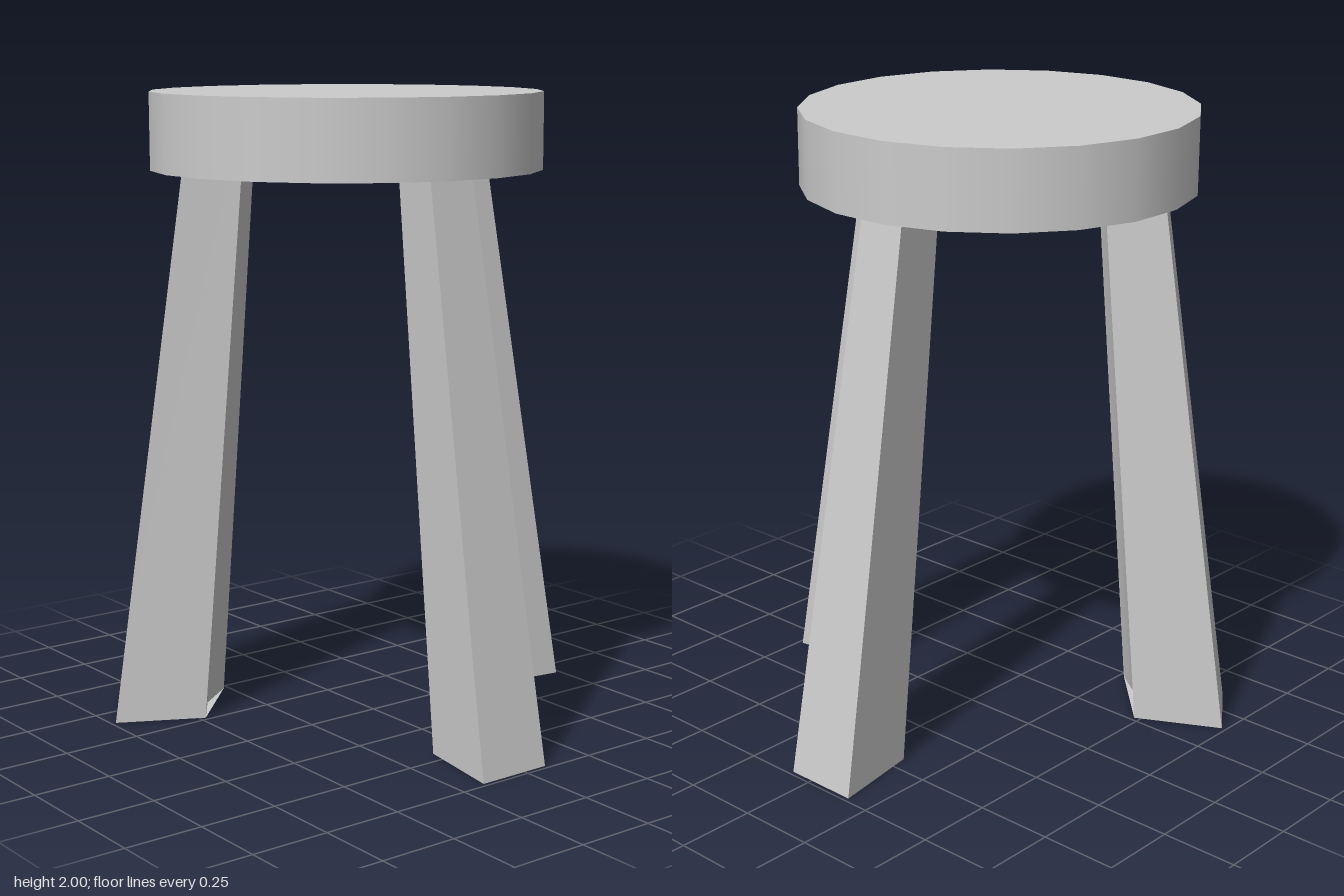
import * as THREE from 'three';
import { toCreasedNormals } from 'three/addons/utils/BufferGeometryUtils.js';

const SEAT_BOTTOM = 1.76;
const SEAT_TOP = 2;

// Solid between a floor outline and an upper outline, both lists of [x, z]
function loft(bottom, top) {
  const area = THREE.ShapeUtils.area(bottom.map(([x, z]) => new THREE.Vector2(x, z)));
  if (area > 0) {
    bottom = [...bottom].reverse();
    top = [...top].reverse();
  }
  const n = bottom.length;
  const positions = [];
  for (const [x, z] of bottom) positions.push(x, 0, z);
  for (const [x, z] of top) positions.push(x, SEAT_BOTTOM, z);
  const index = [];
  for (let i = 0; i < n; i++) {
    const j = (i + 1) % n;
    index.push(i, j, n + j, i, n + j, n + i);
  }
  // End caps
  for (let i = 1; i < n - 1; i++) {
    index.push(0, i + 1, i, n, n + i, n + i + 1);
  }
  const geometry = new THREE.BufferGeometry();
  geometry.setAttribute('position', new THREE.Float32BufferAttribute(positions, 3));
  geometry.setIndex(index);
  return toCreasedNormals(geometry, Math.PI / 6);
}

export function createModel() {
  const group = new THREE.Group();
  const material = new THREE.MeshStandardMaterial({ color: 0xcccccc });
  const add = (name, geometry) => {
    const mesh = new THREE.Mesh(geometry, material);
    mesh.name = name;
    group.add(mesh);
    return mesh;
  };

  // Round seat, offset towards the back leg, flats facing the axes
  const sides = 20;
  const radius = 0.604 / Math.cos(Math.PI / sides);
  const seatGeometry = new THREE.CylinderGeometry(radius, radius, SEAT_TOP - SEAT_BOTTOM, sides);
  seatGeometry.rotateY(Math.PI / sides);
  const seat = add('seat', seatGeometry);
  seat.position.set(-0.06, (SEAT_TOP + SEAT_BOTTOM) / 2, -0.06);

  // Front and side legs: the same wedge section with x and z swapped
  const bottom = [[0.445, -0.115], [0.445, 0.04], [0.735, 0.083], [0.735, -0.162]];
  const top = [[0.265, -0.111], [0.265, -0.009], [0.45, 0.021], [0.45, -0.141]];
  const swap = (points) => points.map(([x, z]) => [z, x]);
  add('leftLeg', loft(bottom, top));
  add('frontLeg', loft(swap(bottom), swap(top)));

  // Wide back leg on the diagonal, bent along the seat's curve
  const backBottom = [[-0.39, -0.39], [-0.48, -0.265], [-0.735, -0.4],
    [-0.596, -0.596], [-0.4, -0.735], [-0.265, -0.48]];
  const backTop = [[-0.293, -0.293], [-0.353, -0.209], [-0.518, -0.293],
    [-0.424, -0.424], [-0.293, -0.518], [-0.209, -0.353]];
  add('backLeg', loft(backBottom, backTop));

  return group;
}
